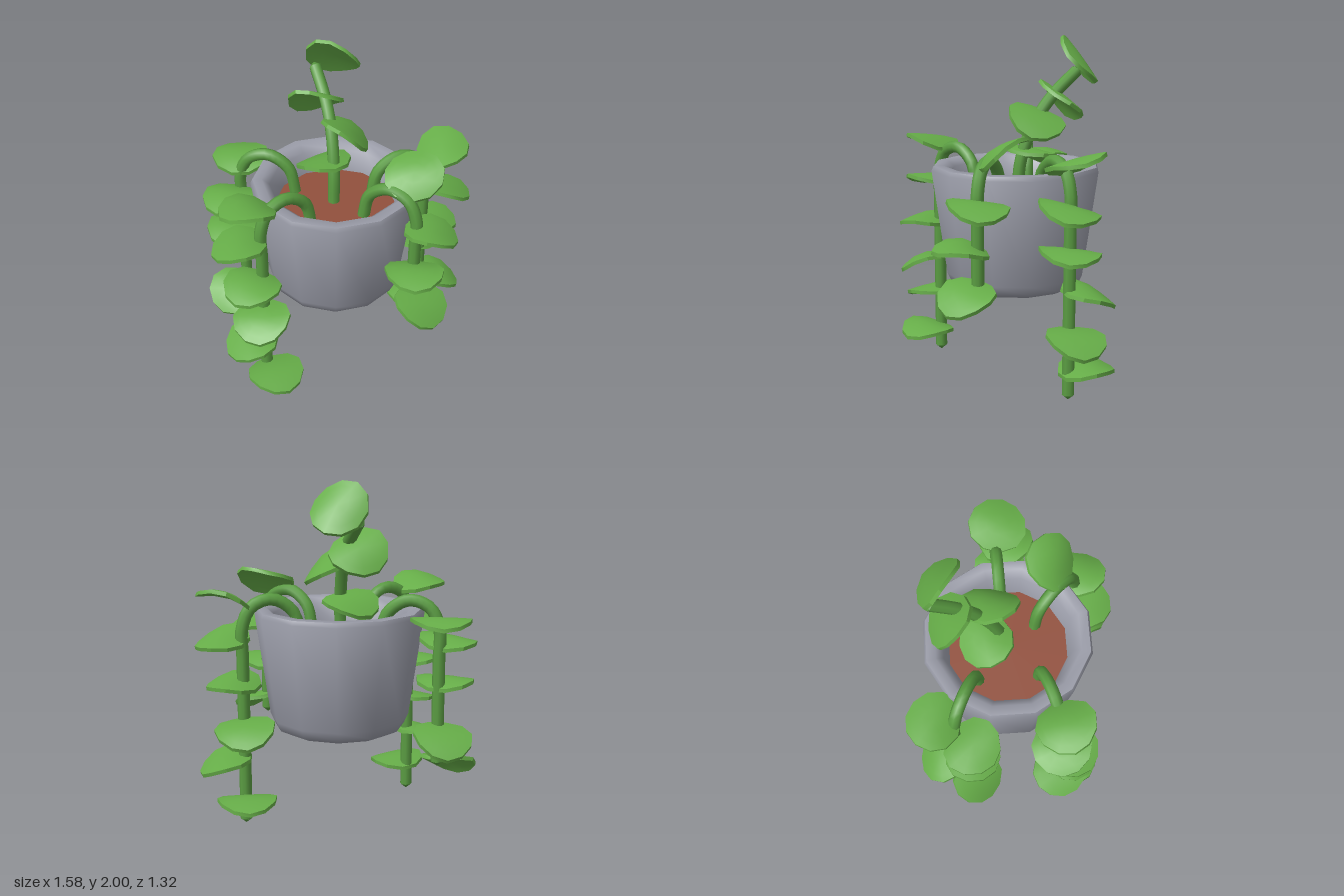
import * as THREE from 'three';
import { toCreasedNormals } from 'three/addons/utils/BufferGeometryUtils.js';

const V = (x, y, z) => new THREE.Vector3(x, y, z);
const mat = (name, color) => Object.assign(new THREE.MeshStandardMaterial({ color }), { name });
const SIDES = 12, TURN = Math.PI / 12, STEM_R = 0.036;

function lathe(points, sides, start = 0) {
  return new THREE.LatheGeometry(points.map(p => new THREE.Vector2(...p)), sides, start, Math.PI * 2);
}

// Thick rounded leaf arched along its length, with the tip (+z) a little narrower
function leafGeometry() {
  const t = 0.011;
  const g = lathe([[0, -t], [0.4, -t], [0.75, -t], [1, -t], [1, t], [0.75, t], [0.4, t], [0, t]], 11);
  const p = g.attributes.position;
  for (let i = 0; i < p.count; i++) {
    const x = p.getX(i), z = p.getZ(i);
    const side = x * 0.172 * (1 - 0.08 * z), along = z * 0.158;
    p.setXYZ(i, side, p.getY(i) + 0.02 - 1.9 * along * along - 0.2 * side * side, along);
  }
  return toCreasedNormals(g, 0.6);
}

export function createModel() {
  const model = new THREE.Group();
  model.name = 'hangingPlant';
  const potMat = mat('potGrey', 0x9a9ca8);
  const soilMat = mat('soilBrown', 0x92503d);
  const leafMat = mat('leafGreen', 0x66ad48);
  const stemMat = mat('stemGreen', 0x5a9c42);
  const add = (parent, name, geometry, material) => {
    const mesh = new THREE.Mesh(geometry, material);
    mesh.name = name;
    parent.add(mesh);
    return mesh;
  };

  // Pot with bevelled foot and thick rounded rim
  const profile = [[0, 0.54], [0.335, 0.54], [0.385, 0.565], [0.41, 0.62], [0.497, 1.235],
    [0.485, 1.26], [0.43, 1.262], [0.385, 1.225], [0.352, 1.08]];
  const pot = add(model, 'pot', toCreasedNormals(lathe(profile, SIDES, TURN), 0.9), potMat);
  pot.position.set(0.01, 0, -0.08);
  const soil = add(model, 'soil', new THREE.CylinderGeometry(0.358, 0.358, 0.02, SIDES, 1, false, TURN), soilMat);
  soil.position.set(0.01, 1.085, -0.08);

  // Stem tube closed by a blunt point
  function stem(parent, points) {
    const curve = new THREE.CatmullRomCurve3(points);
    add(parent, 'stem', new THREE.TubeGeometry(curve, 40, STEM_R, 8), stemMat);
    const tip = add(parent, 'stemTip', new THREE.ConeGeometry(STEM_R, 0.03, 8), stemMat);
    const dir = curve.getTangent(1);
    tip.quaternion.setFromUnitVectors(V(0, 1, 0), dir);
    tip.position.copy(points[points.length - 1]).addScaledVector(dir, 0.015);
  }

  // Leaf centred at c, facing n, growing away from base
  const leafGeo = leafGeometry();
  function leaf(parent, c, n, base) {
    const up = V(...n).normalize(), centre = V(...c);
    const side = up.clone().cross(centre.clone().sub(base)).normalize();
    const mesh = add(parent, 'leaf', leafGeo, leafMat);
    mesh.quaternion.setFromRotationMatrix(new THREE.Matrix4().makeBasis(side, up, side.clone().cross(up)));
    mesh.position.copy(centre);
  }

  // Trailing vines: root and hanging position as [x, z], then leaves as [centre, normal]
  const vines = [
    { name: 'frontVine', root: [-0.07, 0.16], hang: [-0.295, 0.41], end: 0.03, leaves: [
      [[-0.35, 1.35, 0.46], [0, 1, -0.2]], [[-0.41, 1.1, 0.47], [-0.15, 1, 0]],
      [[-0.33, 0.85, 0.51], [0, 1, 0.05]], [[-0.28, 0.6, 0.51], [-0.1, 1, 0.3]],
      [[-0.37, 0.385, 0.47], [-0.15, 1, 0.2]], [[-0.21, 0.17, 0.49], [0.05, 1, 0]]] },
    { name: 'backVine', root: [0.2, -0.22], hang: [0.49, -0.4], end: 0.03, leaves: [
      [[0.58, 1.35, -0.43], [-0.2, 1, 0.3]], [[0.62, 1.1, -0.39], [0.1, 1, -0.25]],
      [[0.55, 0.85, -0.4], [0, 1, -0.1]], [[0.44, 0.6, -0.51], [-0.05, 1, -0.35]],
      [[0.6, 0.385, -0.44], [0.25, 1, -0.2]], [[0.44, 0.17, -0.5], [0, 1, 0.05]]] },
    { name: 'leftVine', root: [0.2, 0], hang: [0.53, 0.1], end: 0.57, leaves: [
      [[0.48, 1.4, -0.03], [0, 1, 0.65]], [[0.62, 1.11, 0.09], [0.15, 1, -0.15]],
      [[0.55, 0.87, 0.19], [0, 1, -0.1]], [[0.6, 0.62, 0.16], [0.45, 1, 0.2]]] },
    { name: 'rightVine', root: [-0.25, -0.14], hang: [-0.59, -0.12], end: 0.39, leaves: [
      [[-0.62, 1.23, -0.23], [0, 1, 0.08]], [[-0.62, 1.08, 0.01], [-0.1, 1, 0]],
      [[-0.61, 0.84, 0.0], [0, 1, 0.05]], [[-0.64, 0.56, -0.22], [-0.3, 1, -0.4]],
      [[-0.63, 0.35, 0.02], [-0.05, 1, 0.6]]] },
  ];
  for (const { name, root, hang, end, leaves } of vines) {
    const vine = new THREE.Group();
    vine.name = name;
    model.add(vine);
    const at = (t, y) => V(THREE.MathUtils.lerp(root[0], hang[0], t), y, THREE.MathUtils.lerp(root[1], hang[1], t));
    stem(vine, [at(0, 1.08), at(0.12, 1.25), at(0.48, 1.33), at(0.84, 1.29),
      at(1, 1.17), at(1, 1.0), at(1, (1 + end) / 2), at(1, end)]);
    for (const [c, n] of leaves) leaf(vine, c, n, V(hang[0], c[1], hang[1]));
  }

  // Upright shoot leaning back
  const shoot = new THREE.Group();
  shoot.name = 'uprightShoot';
  model.add(shoot);
  stem(shoot, [V(0, 1.08, -0.09), V(-0.005, 1.28, -0.11), V(-0.04, 1.5, -0.19),
    V(-0.1, 1.65, -0.29), V(-0.2, 1.79, -0.43)]);
  const shootLeaves = [
    [[-0.09, 1.86, -0.435], [0, 0.6, -0.8], V(-0.2, 1.8, -0.43)],
    [[-0.18, 1.62, -0.34], [-0.2, 0.7, -0.65], V(-0.09, 1.63, -0.27)],
    [[0.05, 1.52, -0.2], [0.45, 0.8, -0.3], V(-0.04, 1.53, -0.2)],
    [[-0.09, 1.31, -0.17], [-0.2, 1, -0.25], V(0, 1.3, -0.12)],
  ];
  for (const [c, n, base] of shootLeaves) leaf(shoot, c, n, base);

  return model;
}
